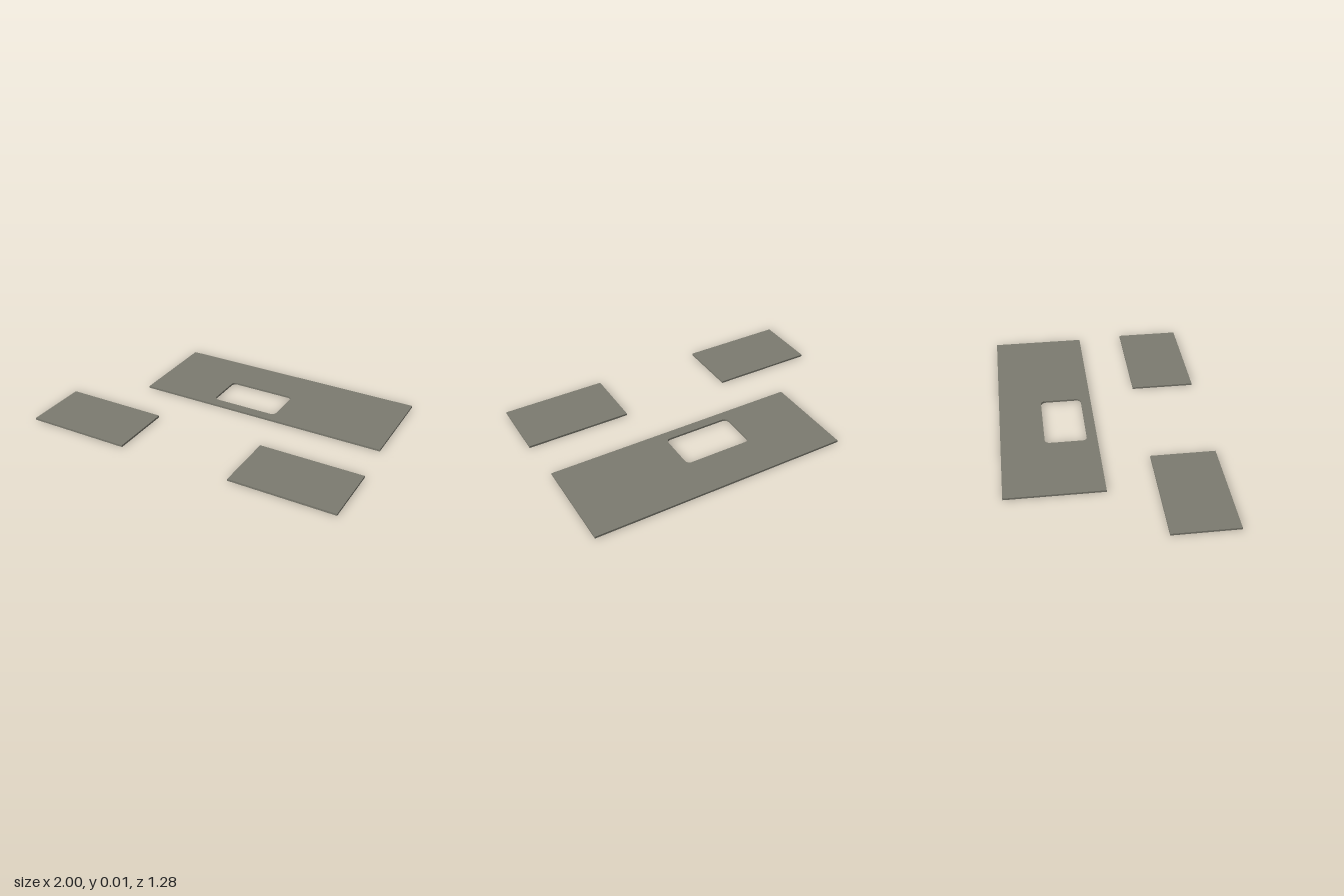
import * as THREE from 'three';

const THICKNESS = 0.012;

// Rectangle outline with rounded corners, drawn in x and z
function roundedRect(path, x0, z0, x1, z1, r) {
  path.absarc(x1 - r, z0 + r, r, -Math.PI / 2, 0);
  path.absarc(x1 - r, z1 - r, r, 0, Math.PI / 2);
  path.absarc(x0 + r, z1 - r, r, Math.PI / 2, Math.PI);
  path.absarc(x0 + r, z0 + r, r, Math.PI, Math.PI * 1.5);
  path.closePath();
  return path;
}

export function createModel() {
  const group = new THREE.Group();
  const panelGrey = new THREE.MeshStandardMaterial({ color: 0x7c7b70 });
  panelGrey.name = 'panelGrey';

  // Large rear panel with a rounded opening
  const outline = new THREE.Shape([
    new THREE.Vector2(-0.62, -0.638),
    new THREE.Vector2(0.98, -0.638),
    new THREE.Vector2(0.98, -0.05),
    new THREE.Vector2(-0.62, -0.05),
  ]);
  outline.holes.push(roundedRect(new THREE.Path(), -0.16, -0.37, 0.267, -0.112, 0.03));
  const geometry = new THREE.ExtrudeGeometry(outline, {
    depth: THICKNESS, bevelEnabled: false, curveSegments: 8,
  });
  geometry.rotateX(Math.PI / 2).translate(0, THICKNESS, 0);
  const largePanel = new THREE.Mesh(geometry, panelGrey);
  largePanel.name = 'largePanel';
  group.add(largePanel);

  // Two matching small panels in front
  for (const [name, side] of [['leftSmallPanel', 1], ['rightSmallPanel', -1]]) {
    const panel = new THREE.Mesh(new THREE.BoxGeometry(0.648, THICKNESS, 0.395), panelGrey);
    panel.name = name;
    panel.position.set(side * 0.676, THICKNESS / 2, 0.4405);
    group.add(panel);
  }
  return group;
}
